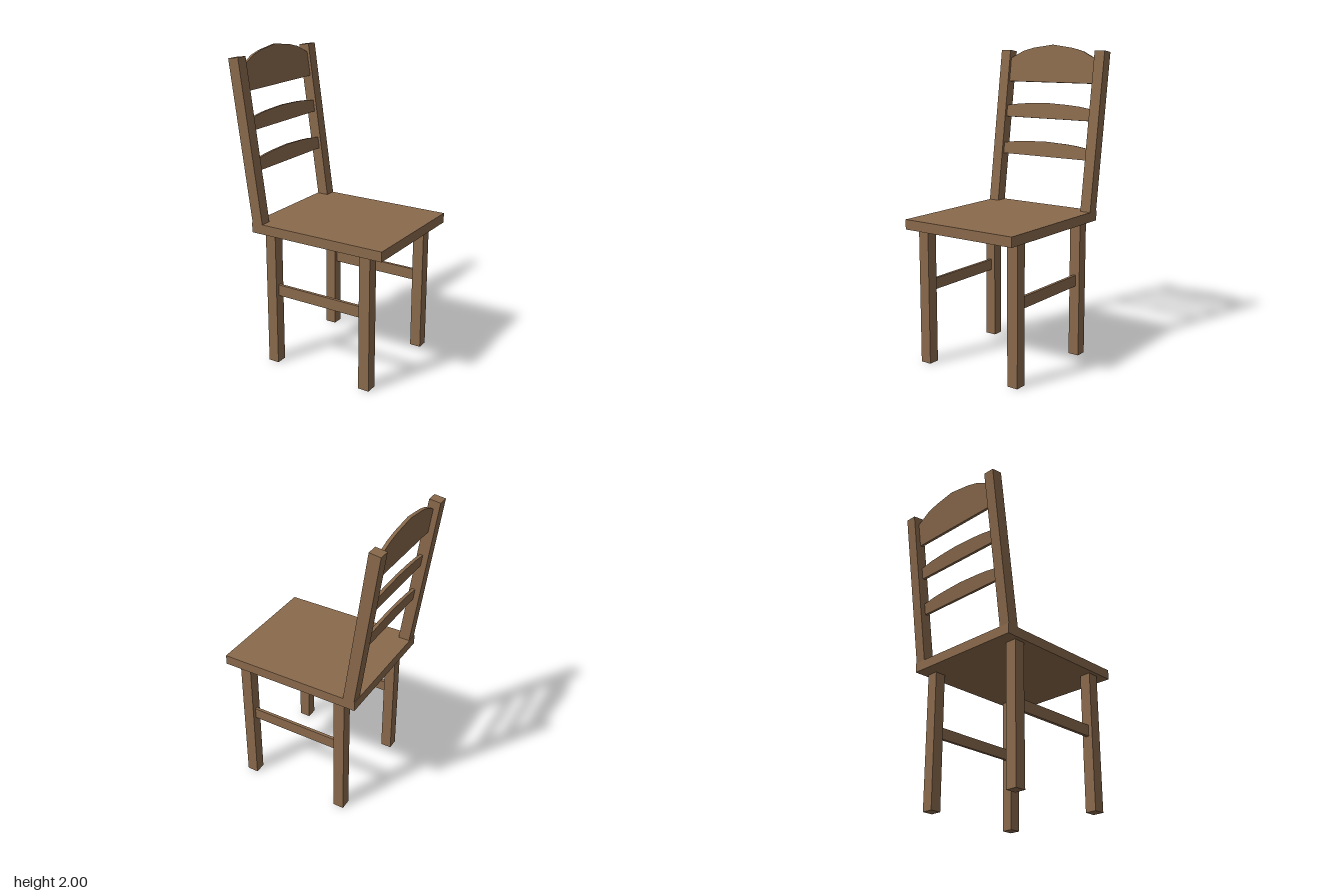
import * as THREE from 'three';

const wood = new THREE.MeshStandardMaterial({ color: 0x8a6a4c });
wood.name = 'brown wood';

function addBox(parent, name, [x0, x1], [y0, y1], [z0, z1]) {
  const mesh = new THREE.Mesh(new THREE.BoxGeometry(x1 - x0, y1 - y0, z1 - z0), wood);
  mesh.position.set((x0 + x1) / 2, (y0 + y1) / 2, (z0 + z1) / 2);
  mesh.name = name;
  parent.add(mesh);
}

// Flat board with an arched top edge, spanning the posts along z
function addSlat(parent, name, bottom, shoulder, crown) {
  const half = 0.333, thickness = 0.02;
  const arch = [[-1, 0], [-0.7, 0.54], [-0.46, 0.77], [0, 1], [0.46, 0.77], [0.7, 0.54], [1, 0]];
  const shape = new THREE.Shape();
  shape.moveTo(half, bottom);
  shape.lineTo(-half, bottom);
  for (const [t, h] of arch) shape.lineTo(t * half, shoulder + h * (crown - shoulder));
  shape.closePath();
  const geometry = new THREE.ExtrudeGeometry(shape, { depth: thickness, bevelEnabled: false });
  geometry.rotateY(Math.PI / 2);
  const mesh = new THREE.Mesh(geometry, wood);
  mesh.position.x = -0.001;
  mesh.name = name;
  parent.add(mesh);
}

export function createModel() {
  const chair = new THREE.Group();
  chair.name = 'chair';

  addBox(chair, 'seat', [-0.4, 0.53], [0.882, 0.945], [-0.404, 0.404]);

  // Backrest leans back about the rear edge of the seat
  const seatTop = 0.945, lean = THREE.MathUtils.degToRad(8);
  const backrest = new THREE.Group();
  backrest.name = 'backrest';
  backrest.position.set(-0.358, seatTop, 0);
  backrest.rotation.z = lean;
  chair.add(backrest);

  // Legs, side stretchers and back posts, mirrored left and right
  for (const side of [-1, 1]) {
    const span = (a, b) => side > 0 ? [a, b] : [-b, -a];
    addBox(chair, 'rearLeg', [-0.315, -0.243], [0, 0.882], span(0.305, 0.378));
    addBox(chair, 'frontLeg', [0.365, 0.438], [0, 0.882], span(0.305, 0.378));
    addBox(chair, 'stretcher', [-0.243, 0.365], [0.467, 0.54], span(0.332, 0.352));
    addBox(backrest, 'backPost', [-0.037, 0.037], [-0.02, 1.025], span(0.331, 0.404));
  }

  // Heights of each slat: lower edge, ends of the arch, middle of the arch
  const along = y => (y - seatTop) / Math.cos(lean);
  addSlat(backrest, 'lowerSlat', along(1.265), along(1.338), along(1.364));
  addSlat(backrest, 'middleSlat', along(1.515), along(1.59), along(1.617));
  addSlat(backrest, 'topSlat', along(1.753), along(1.908), along(1.998));

  return chair;
}
